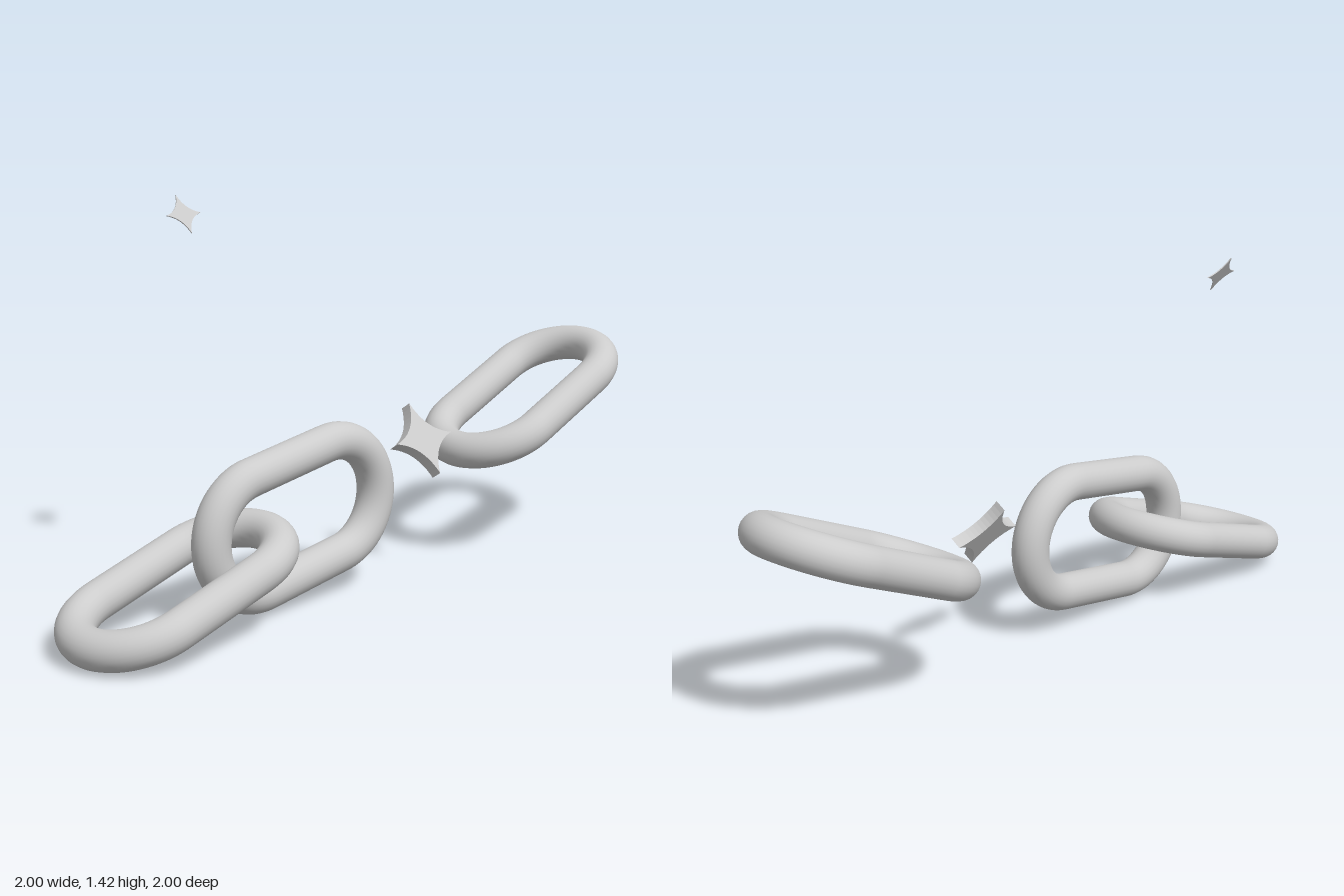
import * as THREE from 'three';

// Closed stadium path in the XY plane: two straights joined by half circles
class StadiumCurve extends THREE.Curve {
  constructor(halfStraight, radius) {
    super();
    this.s = halfStraight;
    this.r = radius;
  }
  getPoint(t, target = new THREE.Vector3()) {
    const { s, r } = this;
    const half = 2 * s + Math.PI * r;
    let d = (((t % 1) + 1) % 1) * 2 * half;
    const sign = d >= half ? -1 : 1;
    if (sign < 0) d -= half;
    // lower straight and right-hand bend, turned 180 degrees for the second half
    if (d < 2 * s) return target.set(sign * (d - s), -sign * r, 0);
    const a = (d - 2 * s) / r - Math.PI / 2;
    return target.set(sign * (s + r * Math.cos(a)), sign * r * Math.sin(a), 0);
  }
}

// Four-pointed star with concave sides, centred through its thickness
function starGeometry(radius, thickness) {
  const shape = new THREE.Shape();
  const c = radius * 0.2;
  shape.moveTo(radius, 0);
  shape.quadraticCurveTo(c, c, 0, radius);
  shape.quadraticCurveTo(-c, c, -radius, 0);
  shape.quadraticCurveTo(-c, -c, 0, -radius);
  shape.quadraticCurveTo(c, -c, radius, 0);
  const geometry = new THREE.ExtrudeGeometry(shape, {
    depth: thickness, bevelEnabled: false, curveSegments: 12,
  });
  return geometry.translate(0, 0, -thickness / 2);
}

export function createModel() {
  const model = new THREE.Group();
  model.name = 'brokenChain';
  const metal = new THREE.MeshStandardMaterial({ color: 0xcccccc });
  metal.name = 'lightGreyMetal';

  const add = (name, geometry, position, rotation) => {
    const mesh = new THREE.Mesh(geometry, metal);
    mesh.name = name;
    mesh.position.set(...position);
    mesh.rotation.set(...rotation);
    model.add(mesh);
  };

  // Chain links run along the +x, -z diagonal, alternating flat and upright
  const link = new THREE.TubeGeometry(new StadiumCurve(0.18, 0.21), 128, 0.068, 24, true);
  const deg = Math.PI / 180;
  const links = [
    ['lowerLink', [-0.607, 0.195, 0.605], 90, 17.5],
    ['middleLink', [-0.233, 0.33, 0.231], 0, 9.5],
    ['upperLink', [0.613, 0.585, -0.614], 90, 24],
  ];
  for (const [name, position, roll, pitch] of links) {
    add(name, link, position, [roll * deg, 45 * deg, pitch * deg, 'YZX']);
  }

  // Spark in the break and a small thin one floating above
  const facing = [-34 * deg, 45 * deg, 0, 'YXZ'];
  add('breakSpark', starGeometry(0.143, 0.045), [0.21, 0.5, -0.195], facing);
  add('floatingSpark', starGeometry(0.076, 0.004), [-0.628, 1.362, 0.024], facing);

  return model;
}
